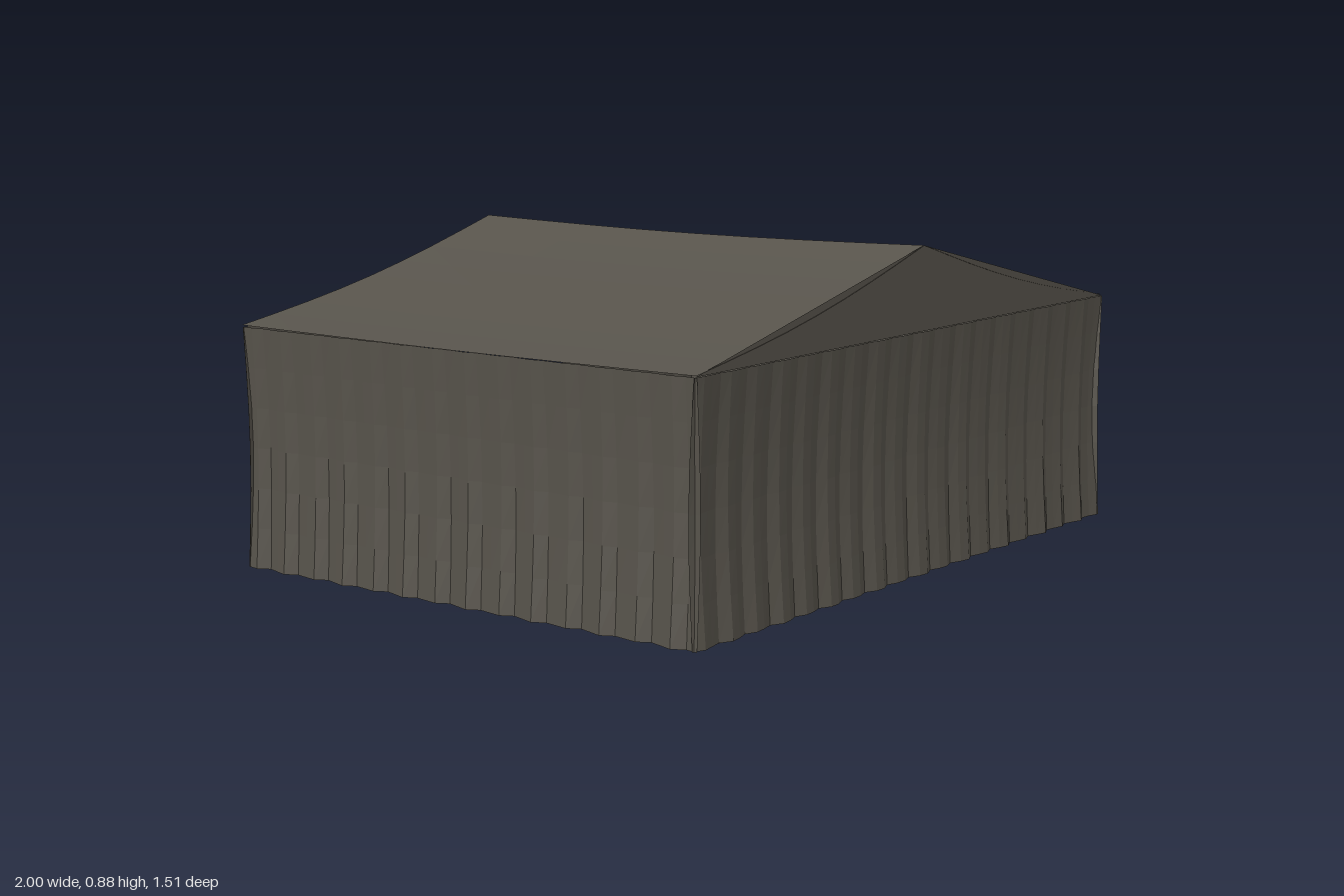
import * as THREE from 'three';

const H = 0.65, HALF_X = 0.99, HALF_Z = 0.75, ROW = H / 6;

export function createModel() {
  const canvas = new THREE.MeshStandardMaterial({ color: 0x57534b, flatShading: true, side: THREE.DoubleSide });
  canvas.name = 'dark canvas';
  const tent = new THREE.Group();
  tent.name = 'tent';

  const add = (name, geometry, parent = tent) => {
    geometry.computeVertexNormals();
    const mesh = new THREE.Mesh(geometry, canvas);
    mesh.name = name;
    parent.add(mesh);
    return mesh;
  };

  // Hanging cloth: pinched at mid height, with folds that deepen towards the hem
  const cloth = (u0, u1, y0, y1, amp, phase) => {
    const cols = Math.round((u1 - u0) / 0.0355), rows = Math.round((y1 - y0) / ROW);
    const g = new THREE.PlaneGeometry(u1 - u0, y1 - y0, cols, rows);
    g.translate((u0 + u1) / 2, (y0 + y1) / 2, 0);
    const p = g.attributes.position;
    for (let i = 0; i < p.count; i++) {
      const u = p.getX(i), v = p.getY(i) / H;
      const fold = Math.sin(u * 58.6 + phase) * 0.8 + Math.sin(u * 29.3 + phase * 2) * 0.2;
      p.setZ(i, fold * amp * (1 - 0.7 * v) - 0.014 * Math.sin(Math.PI * v));
    }
    return g;
  };

  // Front and side walls
  add('frontWall', cloth(-HALF_X, HALF_X, 0, H, 0.011, 0.4)).position.z = 0.746;
  for (const s of [1, -1]) {
    const side = add(s > 0 ? 'leftWall' : 'rightWall', cloth(-HALF_Z, HALF_Z, 0, H, 0.013, 1 + s));
    side.rotation.y = s * Math.PI / 2;
    side.position.x = s * 0.987;
  }

  // Back wall with a doorway
  const back = new THREE.Group();
  back.name = 'backWall';
  back.rotation.y = Math.PI;
  back.position.z = -0.746;
  tent.add(back);
  add('backPanelRight', cloth(0.32, HALF_X, 0, H, 0.011, 2), back);
  add('backPanelLeft', cloth(-HALF_X, -0.32, 0, H, 0.011, 2), back);
  add('doorLintel', cloth(-0.32, 0.32, H - ROW, H, 0.011, 2), back);

  // Front gable triangle
  const gable = new THREE.Shape([[-HALF_X, 0.652], [HALF_X, 0.652], [0, 0.877]].map(([x, y]) => new THREE.Vector2(x, y)));
  add('frontGable', new THREE.ShapeGeometry(gable)).position.z = 0.748;

  // Roof sheet sagging on both slopes and along the ridge
  const roof = new THREE.PlaneGeometry(2 * HALF_X, 2 * HALF_Z, 16, 8);
  roof.rotateX(-Math.PI / 2);
  const p = roof.attributes.position;
  for (let i = 0; i < p.count; i++) {
    const t = Math.abs(p.getX(i)) / HALF_X;
    const mid = Math.cos(p.getZ(i) / HALF_Z * Math.PI / 2);
    p.setY(i, 0.877 - 0.222 * t - 0.022 * Math.sin(Math.PI * t) - 0.011 * mid * (1 - 0.6 * t));
  }
  add('roof', roof);

  return tent;
}
